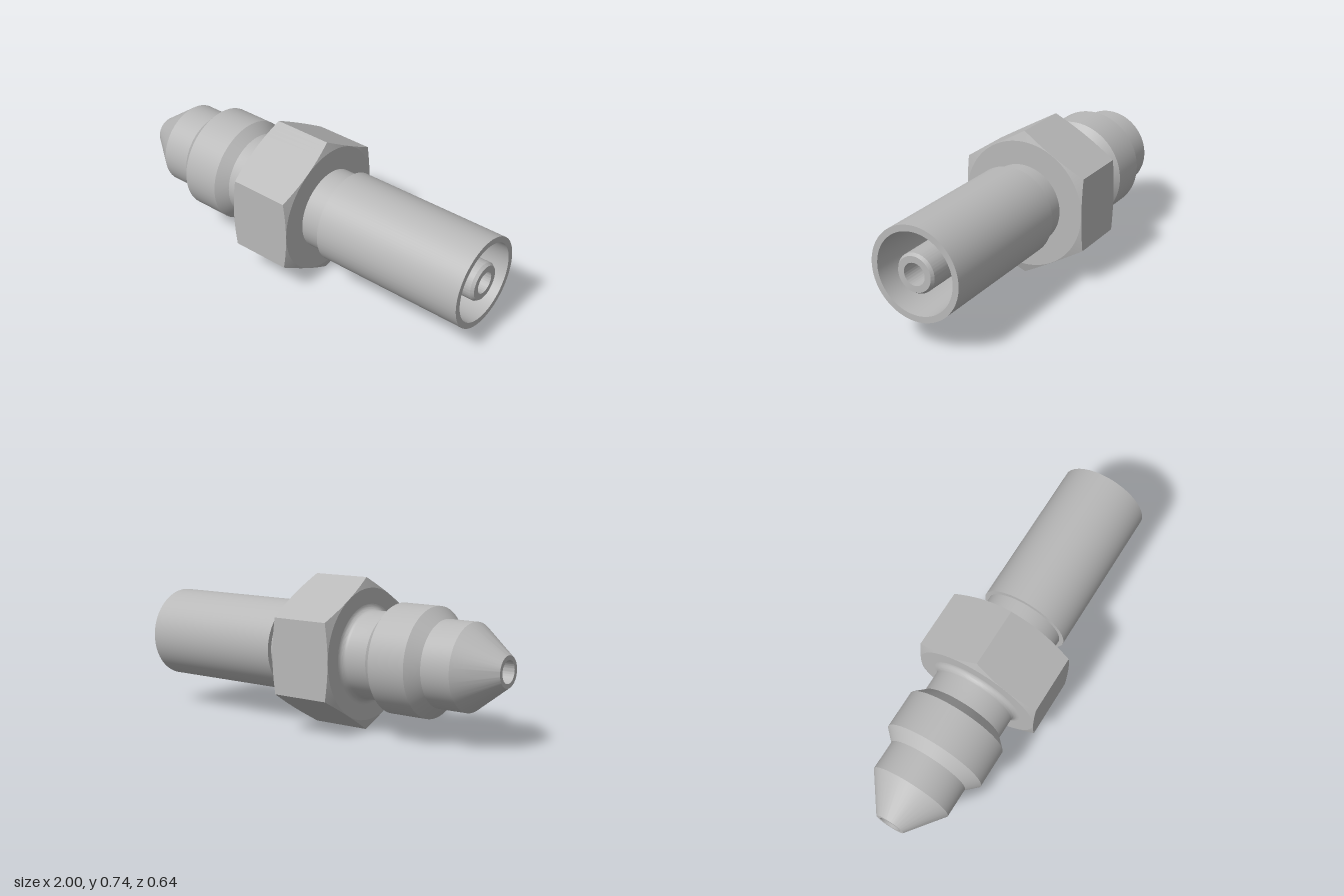
import * as THREE from 'three';
import { toCreasedNormals } from 'three/addons/utils/BufferGeometryUtils.js';

const SEGMENTS = 96;
const APOTHEM = 0.321;
const CORNER = APOTHEM / Math.cos(Math.PI / 6);
const BORE = 0.054;

// Lathe a list of [x, radius] points, turned so its axis lies along x
function turned(profile) {
  const points = profile.map(([x, r]) => new THREE.Vector2(r, x));
  return new THREE.LatheGeometry(points, SEGMENTS).rotateZ(-Math.PI / 2);
}

// Hexagon with corners up and down, and conical chamfers at both ends
function hexNut(x0, x1) {
  const rim = APOTHEM - 0.001;
  const geometry = turned([
    [x0, 0.18], [x0, rim], [x0, CORNER], [x1, CORNER], [x1, rim], [x1, 0.18],
  ]);
  const p = geometry.attributes.position;
  const side = Math.PI / 3;
  for (let i = 0; i < p.count; i++) {
    const y = p.getY(i), z = p.getZ(i);
    if (Math.hypot(y, z) < CORNER - 0.001) continue;
    const angle = Math.atan2(y, z);
    const offset = angle - Math.round(angle / side) * side;
    const radius = APOTHEM / Math.cos(offset);
    const chamfer = (radius - rim) * 0.33;
    const x = p.getX(i);
    p.setXYZ(i, x + (x < (x0 + x1) / 2 ? chamfer : -chamfer),
      Math.sin(angle) * radius, Math.cos(angle) * radius);
  }
  return geometry;
}

export function createModel() {
  const model = new THREE.Group();
  model.name = 'hoseFitting';
  const steel = new THREE.MeshStandardMaterial({ color: 0xb8b8b8 });
  steel.name = 'steel';

  const add = (name, geometry) => {
    const mesh = new THREE.Mesh(toCreasedNormals(geometry, 0.25), steel);
    mesh.name = name;
    mesh.position.y = CORNER;
    model.add(mesh);
  };

  // Rounded fillet between the plug neck and the nut
  const fillet = [];
  for (let i = 0; i <= 8; i++) {
    const a = (i / 8) * Math.PI / 2;
    fillet.push([-0.265 + 0.03 * Math.sin(a), 0.243 - 0.03 * Math.cos(a)]);
  }

  // Conical nose, collar and neck, with the bore through the middle
  add('conePlug', turned([
    [-0.1, BORE], [-1, BORE], [-1, 0.075], [-0.82, 0.208], [-0.67, 0.208],
    [-0.615, 0.263], [-0.42, 0.263], [-0.37, 0.213], ...fillet, [-0.1, 0.243],
  ]));

  add('hexNut', hexNut(-0.235, 0.1));

  // Neck and outer sleeve, tapered socket, inner nipple and bore
  add('sleeveAndNipple', turned([
    [-0.1, 0.203], [0.21, 0.203], [0.21, 0.227], [1, 0.227], [1, 0.197],
    [0.3, 0.168], [0.3, 0.095], [0.985, 0.095], [1, 0.085], [1, BORE], [-0.1, BORE],
  ]));

  return model;
}
